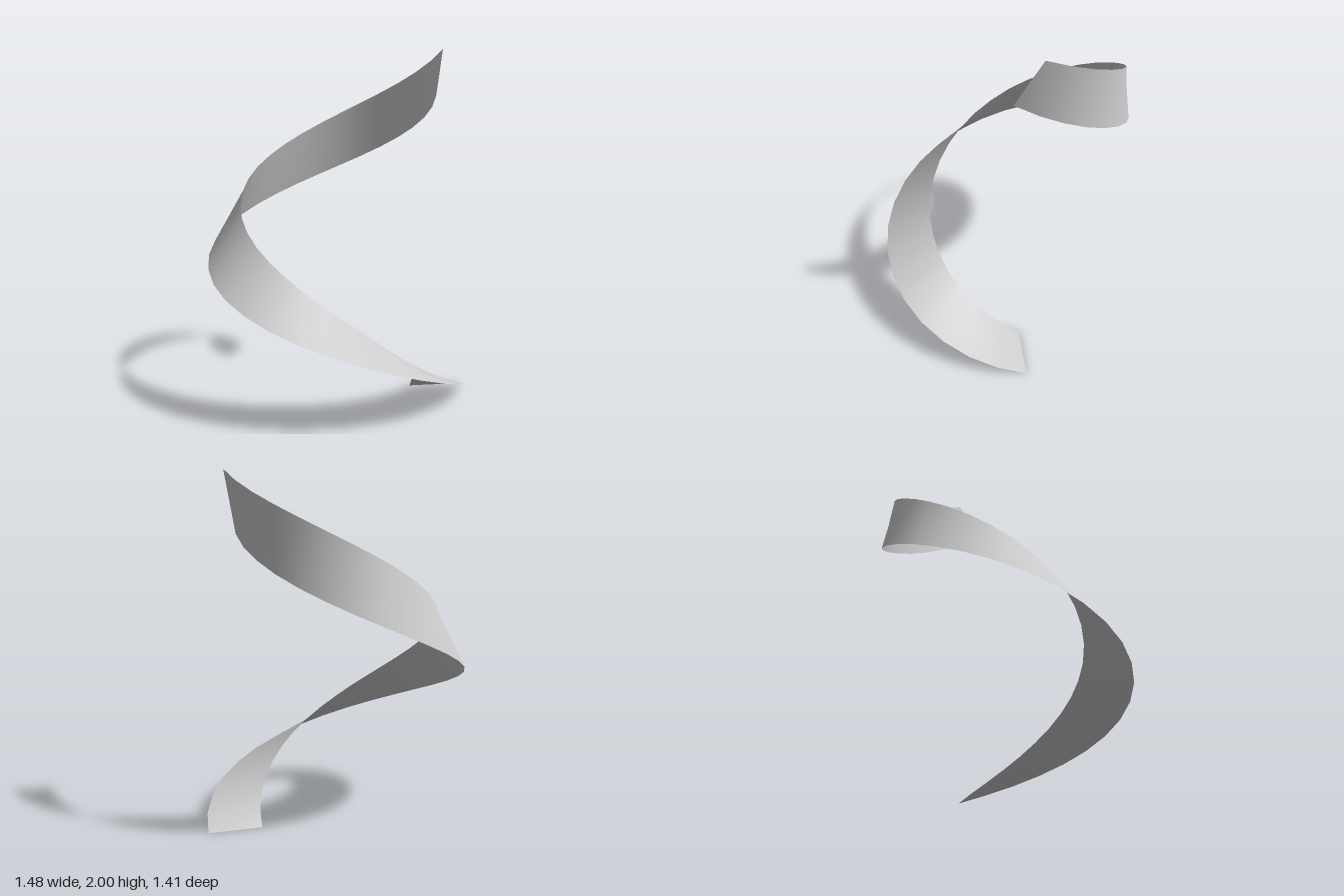
import * as THREE from 'three';

export function createModel() {
  const model = new THREE.Group();
  const paleGrey = new THREE.MeshStandardMaterial({ color: 0xcccccc, side: THREE.DoubleSide });
  paleGrey.name = 'paleGrey';

  const segments = 30, radius = 0.617, rise = 1.862, halfWidth = 0.153;
  const totalTwist = THREE.MathUtils.degToRad(-103);
  const axis = new THREE.Vector3(-0.03, 0.003, -0.06);

  // One helical turn; the cross-section rolls steadily around the path
  const positions = [], indices = [];
  for (let i = 0; i <= segments; i++) {
    const t = i / segments, a = t * Math.PI * 2, roll = t * totalTwist;
    const radial = new THREE.Vector3(Math.cos(a), 0, Math.sin(a));
    const tangent = new THREE.Vector3(-Math.sin(a) * radius, rise / (Math.PI * 2), Math.cos(a) * radius).normalize();
    const binormal = new THREE.Vector3().crossVectors(tangent, radial);
    const centre = axis.clone().addScaledVector(radial, radius);
    centre.y += rise * t;
    const across = radial.clone().multiplyScalar(Math.cos(roll)).addScaledVector(binormal, Math.sin(roll));
    for (const side of [-1, 1]) {
      positions.push(...centre.clone().addScaledVector(across, side * halfWidth).toArray());
    }
    if (i < segments) {
      const k = i * 2;
      indices.push(k, k + 2, k + 1, k + 1, k + 2, k + 3);
    }
  }

  const geometry = new THREE.BufferGeometry();
  geometry.setAttribute('position', new THREE.Float32BufferAttribute(positions, 3));
  geometry.setIndex(indices);
  geometry.computeVertexNormals();

  const ribbon = new THREE.Mesh(geometry, paleGrey);
  ribbon.name = 'twistedRibbon';
  model.add(ribbon);
  return model;
}
